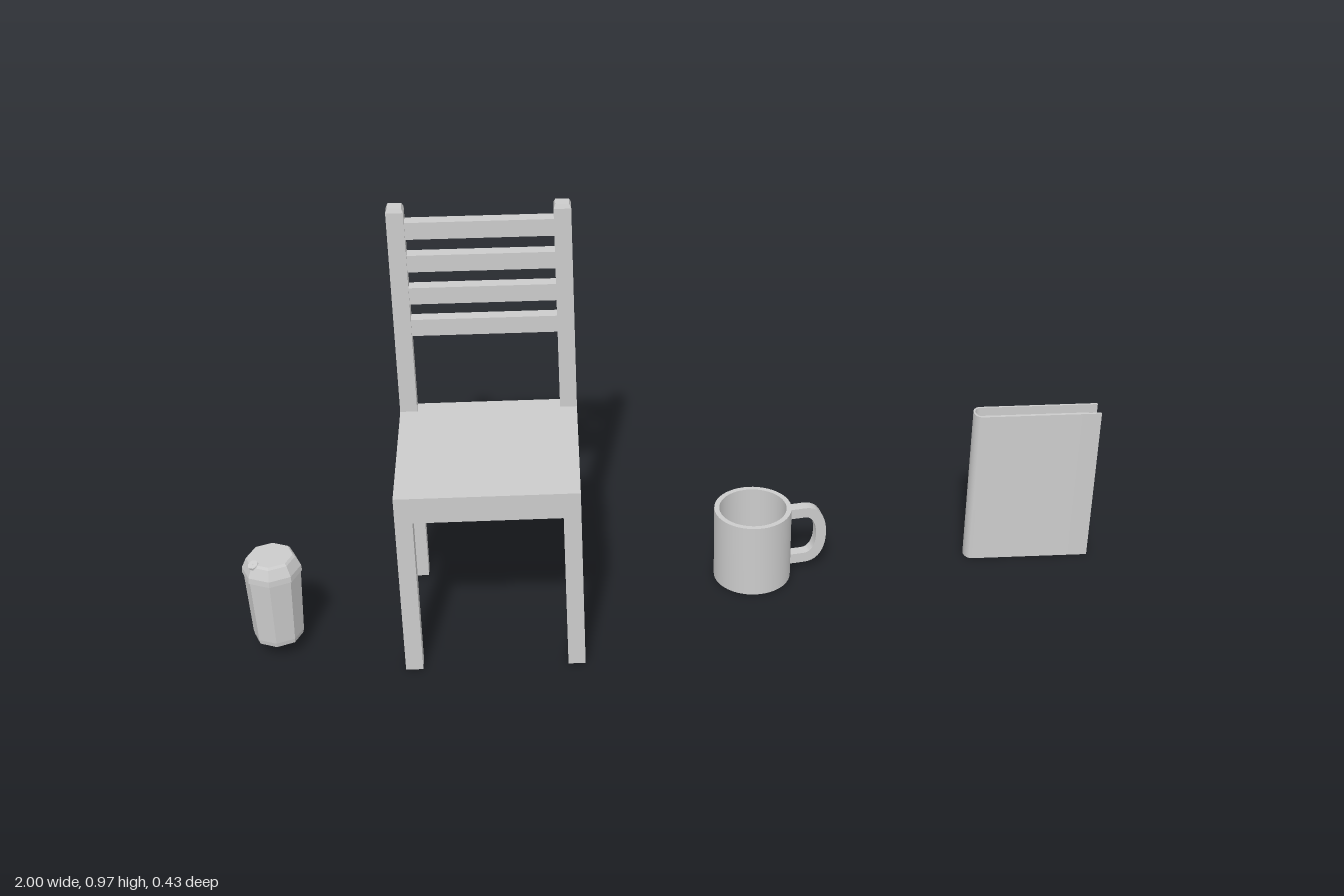
import * as THREE from 'three';
import { toCreasedNormals } from 'three/addons/utils/BufferGeometryUtils.js';

const smooth = new THREE.MeshStandardMaterial({ color: 0xcccccc, side: THREE.DoubleSide });
const faceted = new THREE.MeshStandardMaterial({ color: 0xcccccc, flatShading: true });

function add(parent, name, geometry, material = faceted) {
  const mesh = new THREE.Mesh(geometry, material);
  mesh.name = name;
  parent.add(mesh);
  return mesh;
}

// Box given by its lower and upper limits on each axis
function box(parent, name, [x0, x1], [y0, y1], [z0, z1]) {
  const mesh = add(parent, name, new THREE.BoxGeometry(x1 - x0, y1 - y0, z1 - z0));
  mesh.position.set((x0 + x1) / 2, (y0 + y1) / 2, (z0 + z1) / 2);
  return mesh;
}

const lathe = (points, sides) =>
  new THREE.LatheGeometry(points.map(([r, y]) => new THREE.Vector2(r, y)), sides);

function createChair() {
  const chair = new THREE.Group();
  chair.name = 'chair';
  const cx = -0.4375, half = 0.2035, t = 0.039;
  const zBack = [-0.196, -0.16];

  box(chair, 'seat', [cx - half, cx + half], [0.396, 0.459], [-0.196, 0.213]);
  for (const side of [-1, 1]) {
    const outer = cx + side * half, inner = outer - side * t;
    const xs = [Math.min(outer, inner), Math.max(outer, inner)];
    box(chair, 'frontLeg', xs, [0, 0.396], [0.174, 0.213]);
    box(chair, 'backLeg', xs, [0, 0.396], zBack);
    box(chair, 'backPost', xs, [0.459, 0.963], zBack);
    // Chamfered post tip
    const tip = new THREE.CylinderGeometry(0.39 * Math.SQRT2, Math.SQRT1_2, 1, 4);
    tip.rotateY(Math.PI / 4).scale(t, 0.01, 0.036);
    add(chair, 'postTip', tip).position.set((outer + inner) / 2, 0.968, -0.178);
  }
  // Ladder back
  for (let i = 0; i < 4; i++) {
    const y = 0.654 + i * 0.0805;
    box(chair, 'backSlat', [cx - half + t, cx + half - t], [y, y + 0.041], [-0.194, -0.165]);
  }
  return chair;
}

function createMug() {
  const mug = new THREE.Group();
  mug.name = 'mug';
  mug.position.set(0.176, 0, -0.121);
  mug.rotation.y = 0.17;

  // Hollow cup with floor, wall and rim
  const cup = lathe([[0, 0], [0.092, 0], [0.092, 0.187], [0.08, 0.187], [0.08, 0.012], [0, 0.012]], 48);
  add(mug, 'cup', toCreasedNormals(cup, 0.6), smooth);

  // D-shaped strap handle
  const s = new THREE.Shape();
  s.moveTo(0.086, 0.174);
  s.lineTo(0.128, 0.174);
  s.bezierCurveTo(0.162, 0.174, 0.18, 0.142, 0.18, 0.097);
  s.bezierCurveTo(0.18, 0.052, 0.162, 0.02, 0.128, 0.02);
  s.lineTo(0.086, 0.02);
  s.lineTo(0.086, 0.046);
  s.lineTo(0.126, 0.046);
  s.bezierCurveTo(0.145, 0.046, 0.155, 0.068, 0.155, 0.097);
  s.bezierCurveTo(0.155, 0.126, 0.145, 0.148, 0.126, 0.148);
  s.lineTo(0.086, 0.148);
  const strap = new THREE.ExtrudeGeometry(s, { depth: 0.026, bevelEnabled: false, curveSegments: 10 });
  strap.translate(0, 0, -0.013);
  add(mug, 'handle', toCreasedNormals(strap, 0.6), smooth);
  return mug;
}

function createShaker() {
  const shaker = new THREE.Group();
  shaker.name = 'shaker';
  shaker.position.set(-0.932, 0, 0.109);

  // Eight-sided tapering body and domed lid
  add(shaker, 'body', lathe([[0, 0.041], [0.055, 0.041], [0.057, 0.052], [0.064, 0.211]], 8));
  add(shaker, 'lid', lathe([[0.062, 0.211], [0.067, 0.213], [0.066, 0.227], [0.055, 0.251], [0.05, 0.256], [0, 0.256]], 8));
  const spout = add(shaker, 'pourHole', new THREE.CylinderGeometry(0.012, 0.012, 0.012, 10));
  spout.position.set(-0.034, 0.25, 0.032);
  spout.rotation.set(0.3, 0, 0.3);
  return shaker;
}

function createBook() {
  const book = new THREE.Group();
  book.name = 'book';
  const z0 = -0.196, z1 = -0.147, zc = (z0 + z1) / 2, t = 0.005;

  // Cover: two boards joined by a rounded spine, drawn in plan and extruded upward
  const cover = new THREE.Shape();
  const arc = (rx, rz, from, to) => {
    for (let i = 0; i <= 8; i++) {
      const a = from + ((to - from) * i) / 8;
      cover.lineTo(0.718 + rx * Math.cos(a), -zc + rz * Math.sin(a));
    }
  };
  const h = (z1 - z0) / 2;
  cover.moveTo(1, -zc + h);
  arc(0.019, h, Math.PI / 2, Math.PI * 1.5);
  cover.lineTo(1, -zc - h);
  cover.lineTo(1, -zc - h + t);
  arc(0.014, h - t, Math.PI * 1.5, Math.PI / 2);
  cover.lineTo(1, -zc + h - t);
  const shell = new THREE.ExtrudeGeometry(cover, { depth: 0.4, bevelEnabled: false });
  shell.rotateX(-Math.PI / 2);
  add(book, 'cover', toCreasedNormals(shell, 0.6), smooth);

  box(book, 'pages', [0.715, 0.98], [0.022, 0.378], [z0 + t, z1 - t]);
  return book;
}

export function createModel() {
  const model = new THREE.Group();
  model.name = 'householdSet';
  model.add(createChair(), createMug(), createShaker(), createBook());
  return model;
}
